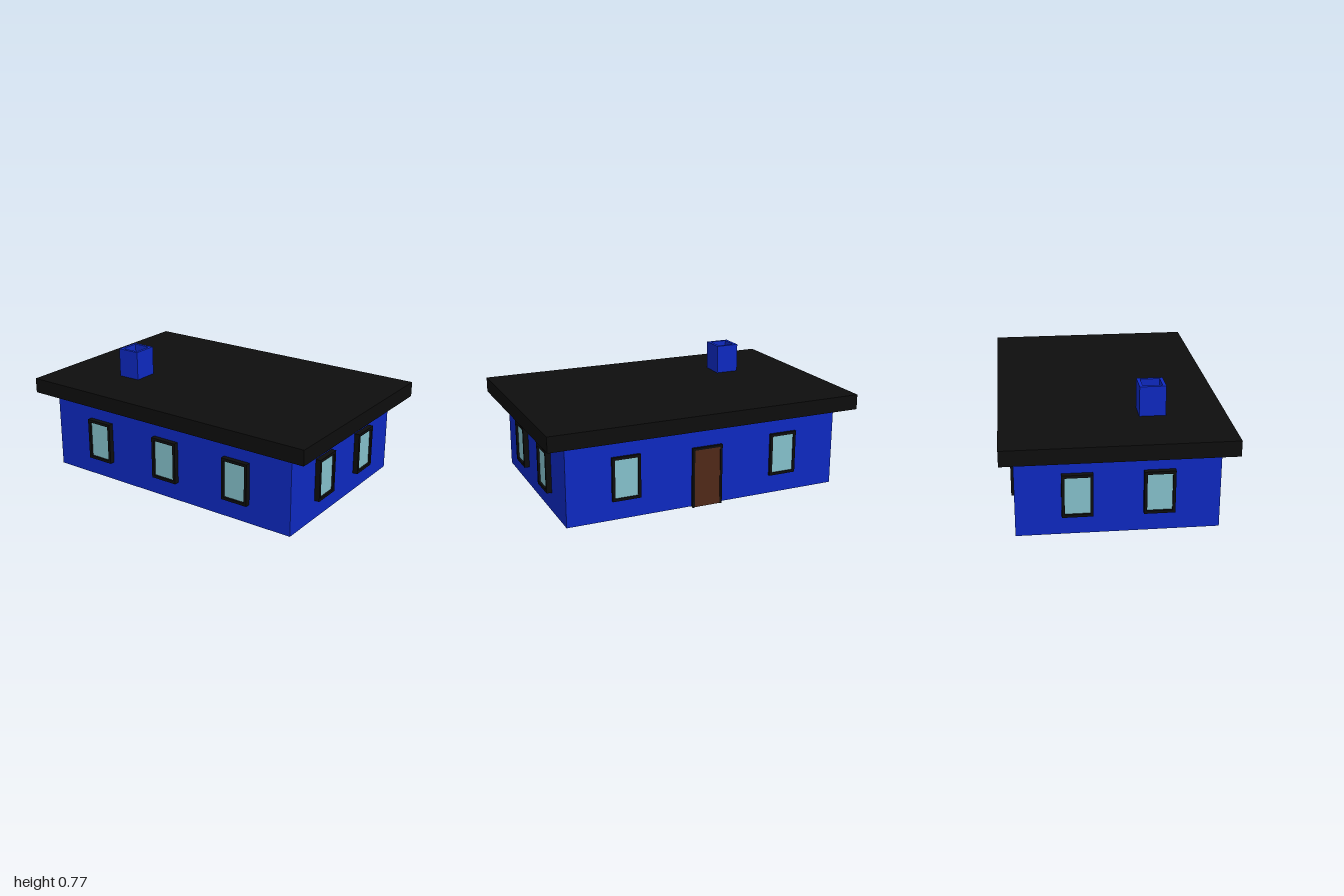
import * as THREE from 'three';

const paint = (color) => new THREE.MeshStandardMaterial({ color });
const wallBlue = paint(0x0d28c0);
const black = paint(0x0d0d0d);
const glass = paint(0x84bfca);
const wood = paint(0x4f2817);

function box(name, material, [w, h, d], [x, y, z]) {
  const mesh = new THREE.Mesh(new THREE.BoxGeometry(w, h, d), material);
  mesh.name = name;
  mesh.position.set(x, y, z);
  return mesh;
}

function rectangle(PathType, x0, y0, x1, y1) {
  const path = new PathType();
  path.moveTo(x0, y0);
  path.lineTo(x1, y0);
  path.lineTo(x1, y1);
  path.lineTo(x0, y1);
  path.closePath();
  return path;
}

// Rectangular ring, centred on the origin and extruded along +z
function ring(name, material, w, h, border, depth) {
  const shape = rectangle(THREE.Shape, -w / 2, -h / 2, w / 2, h / 2);
  shape.holes.push(rectangle(THREE.Path, -w / 2 + border, -h / 2 + border, w / 2 - border, h / 2 - border));
  const mesh = new THREE.Mesh(new THREE.ExtrudeGeometry(shape, { depth, bevelEnabled: false }), material);
  mesh.name = name;
  return mesh;
}

// Framed pane whose back lies on z = 0
function makeWindow(name, w, h, depth) {
  const group = new THREE.Group();
  group.name = name;
  const border = 0.017;
  const paneDepth = depth * 0.6;
  group.add(
    ring('windowFrame', black, w, h, border, depth),
    box('windowPane', glass, [w - 2 * border, h - 2 * border, paneDepth], [0, 0, paneDepth / 2])
  );
  return group;
}

// Door with a frame on the top and both sides
function makeDoor(w, h, depth) {
  const group = new THREE.Group();
  group.name = 'door';
  const border = 0.014;
  for (const side of [-1, 1]) {
    group.add(box('doorPost', black, [border, h, depth], [side * (w - border) / 2, h / 2, depth / 2]));
  }
  group.add(
    box('doorLintel', black, [w - 2 * border, border, depth], [0, h - border / 2, depth / 2]),
    box('doorPanel', wood, [w - 2 * border, h - border, depth * 0.7], [0, (h - border) / 2, depth * 0.35])
  );
  return group;
}

export function createModel() {
  const house = new THREE.Group();
  house.name = 'house';
  const halfX = 0.588;
  const halfZ = 0.88;

  house.add(
    box('walls', wallBlue, [2 * halfX, 0.495, 2 * halfZ], [0, 0.2525, 0]),
    box('roof', black, [1.334, 0.094, 2], [0, 0.546, 0])
  );

  // Windows in the two short walls
  for (const x of [-0.234, 0.234]) {
    const front = makeWindow('frontWindow', 0.18, 0.262, 0.032);
    front.position.set(x, 0.255, halfZ);
    const back = makeWindow('backWindow', 0.18, 0.262, 0.032);
    back.position.set(x, 0.255, -halfZ);
    back.rotation.y = Math.PI;
    house.add(front, back);
  }

  // Three windows in the right wall
  for (const z of [-0.515, 0, 0.515]) {
    const side = makeWindow('rightWindow', 0.177, 0.262, 0.032);
    side.position.set(-halfX, 0.255, z);
    side.rotation.y = -Math.PI / 2;
    house.add(side);
  }

  // Two windows and the door in the left wall
  for (const z of [-0.517, 0.515]) {
    const side = makeWindow('leftWindow', 0.177, 0.268, 0.016);
    side.position.set(halfX, 0.257, z);
    side.rotation.y = Math.PI / 2;
    house.add(side);
  }
  const door = makeDoor(0.195, 0.375, 0.017);
  door.position.set(halfX, 0, -0.002);
  door.rotation.y = Math.PI / 2;
  house.add(door);

  // Hollow chimney with a closed bottom
  const chimney = new THREE.Group();
  chimney.name = 'chimney';
  const flue = ring('flue', wallBlue, 0.156, 0.148, 0.02, 0.185);
  flue.rotation.x = -Math.PI / 2;
  chimney.add(flue, box('flueFloor', wallBlue, [0.116, 0.03, 0.108], [0, 0.02, 0]));
  chimney.position.set(-0.232, 0.59, -0.52);
  house.add(chimney);

  return house;
}
